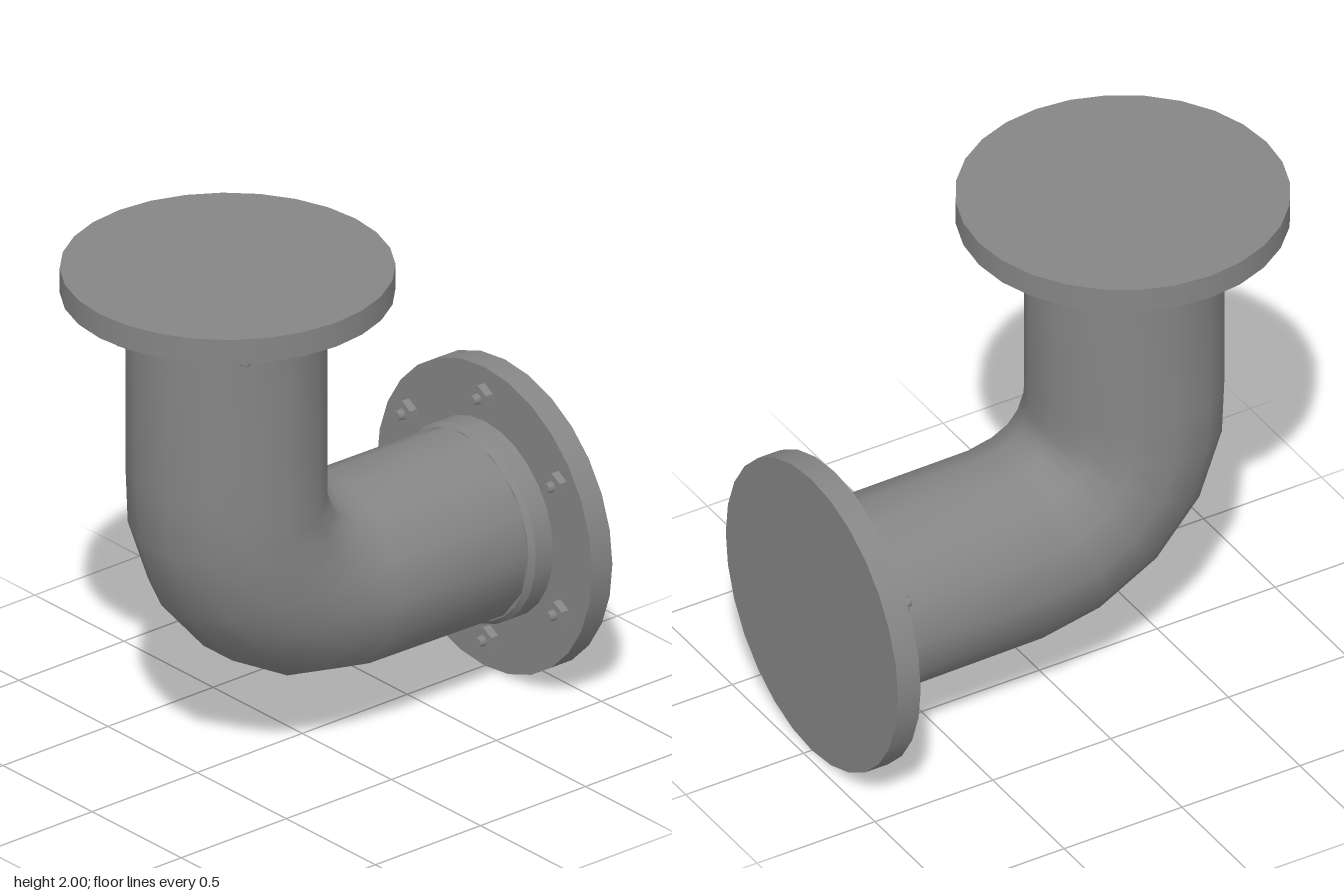
import * as THREE from 'three';

const material = new THREE.MeshStandardMaterial({ color: 0x868686 });

function cylinder(name, rTop, rBottom, y0, y1, sides, flat = false) {
  const mat = flat ? material.clone() : material;
  mat.flatShading = flat;
  const mesh = new THREE.Mesh(new THREE.CylinderGeometry(rTop, rBottom, y1 - y0, sides), mat);
  mesh.name = name;
  mesh.position.y = (y0 + y1) / 2;
  return mesh;
}

// Hexagonal nut with the end of its stud, standing on y = 0
function createBolt(x, y, z) {
  const bolt = new THREE.Group();
  bolt.name = 'bolt';
  bolt.add(
    cylinder('nut', 0.053, 0.053, -0.005, 0.033, 6, true),
    cylinder('stud', 0.019, 0.022, 0.03, 0.06, 8),
  );
  bolt.position.set(x, y, z);
  return bolt;
}

// Blind flange: outer face at y = 0, collar and bolts towards +y
function createFlange(name, radius, bolts) {
  const flange = new THREE.Group();
  flange.name = name;
  flange.add(
    cylinder('plate', radius, radius, 0, 0.097, 28),
    cylinder('collar', 0.385, 0.385, 0.09, 0.18, 28),
    cylinder('collarChamfer', 0.368, 0.385, 0.18, 0.2, 28),
  );
  for (const [x, z] of bolts) flange.add(createBolt(x, 0.097, z));
  return flange;
}

// Elbow pipe: elliptical rings spanned between an outer and an inner bend point
function createPipe() {
  const sides = 14, halfWidth = 0.367;
  const flatScale = 0.5 / Math.cos(Math.PI / sides); // puts the flats on the bend points
  // outer z, outer y, inner z, inner y
  const sections = [
    [0.718, 1.85, 0.003, 1.85],
    [0.718, 1.2, 0.003, 1.2],
    [0.706, 0.96, 0.003, 1.09],
    [0.602, 0.68, -0.015, 1.042],
    [0.402, 0.453, -0.04, 1.012],
    [0.14, 0.31, -0.085, 0.99],
    [-0.12, 0.26, -0.17, 0.972],
    [-0.82, 0.25, -0.82, 0.966],
  ];
  const positions = [], indices = [];
  sections.forEach(([oz, oy, iz, iy], i) => {
    for (let j = 0; j < sides; j++) {
      const a = ((j + 0.5) / sides) * Math.PI * 2, c = Math.cos(a) * flatScale;
      positions.push(
        halfWidth * Math.sin(a),
        (oy + iy) / 2 + c * (oy - iy),
        (oz + iz) / 2 + c * (oz - iz),
      );
      if (i === sections.length - 1) continue;
      const k = (j + 1) % sides, p = i * sides, q = p + sides;
      indices.push(p + j, q + j, q + k, p + j, q + k, p + k);
    }
  });
  const geometry = new THREE.BufferGeometry();
  geometry.setAttribute('position', new THREE.Float32BufferAttribute(positions, 3));
  geometry.setIndex(indices);
  geometry.computeVertexNormals();
  const pipe = new THREE.Mesh(geometry, material);
  pipe.name = 'elbowPipe';
  return pipe;
}

export function createModel() {
  const model = new THREE.Group();
  model.name = 'pipeElbow';
  model.add(createPipe());

  // Upper flange, facing down
  const top = createFlange('topFlange', 0.61, [
    [0, -0.505], [0.42, -0.275], [0.42, 0.255],
    [0, 0.5], [-0.365, -0.35], [-0.475, 0.17],
  ]);
  top.position.set(0, 2, 0.355);
  top.rotation.x = Math.PI;

  // Rear flange, facing forward
  const rear = createFlange('rearFlange', 0.603, [
    [0.03, 0.48], [0.425, 0.23], [0.415, -0.285],
    [0, -0.485], [-0.425, -0.265], [-0.405, 0.27],
  ]);
  rear.position.set(0, 0.604, -0.965);
  rear.rotation.x = Math.PI / 2;

  model.add(top, rear);
  return model;
}
